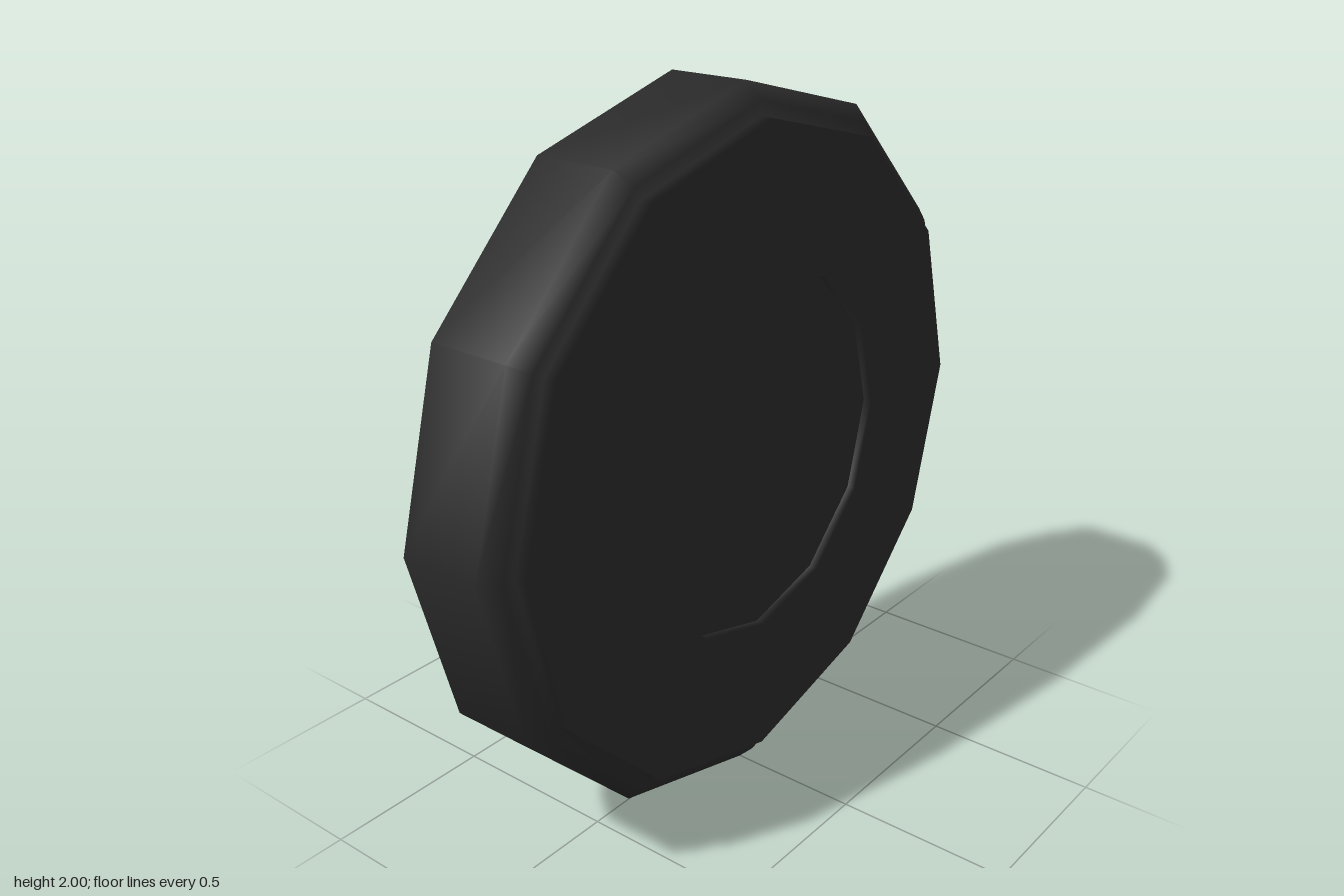
import * as THREE from 'three';

const SIDES = 12;
const HUB_RADIUS = 0.517;
const HUB_DEPTH = 0.175;

export function createModel() {
  const wheel = new THREE.Group();
  wheel.name = 'wheel';
  const rubber = new THREE.MeshStandardMaterial({ color: 0x2a2a2a });
  rubber.name = 'dark rubber';

  // Front half of the tyre section as [radius, z], tread to hub recess
  const half = [
    [1, 0.12], [0.955, 0.165], [0.916, 0.165],
    [0.916, 0.2], [HUB_RADIUS, 0.2], [HUB_RADIUS, HUB_DEPTH],
  ];
  const back = half.map(([r, z]) => [r, -z]).reverse();
  const profile = [...back, ...half].map(([r, z]) => new THREE.Vector2(r, z));

  // Smooth-shaded twelve-sided tyre, axle along z
  const tyreGeometry = new THREE.LatheGeometry(profile, SIDES);
  tyreGeometry.rotateX(Math.PI / 2);
  const tyre = new THREE.Mesh(tyreGeometry, rubber);
  tyre.name = 'tyre';
  tyre.position.y = 1;
  wheel.add(tyre);

  // Flat hub discs, slightly recessed on both sides
  for (const side of [1, -1]) {
    const hub = new THREE.Mesh(new THREE.CircleGeometry(HUB_RADIUS, SIDES), rubber);
    hub.name = side > 0 ? 'frontHub' : 'backHub';
    hub.position.set(0, 1, side * HUB_DEPTH);
    if (side < 0) hub.rotation.y = Math.PI;
    wheel.add(hub);
  }
  return wheel;
}
